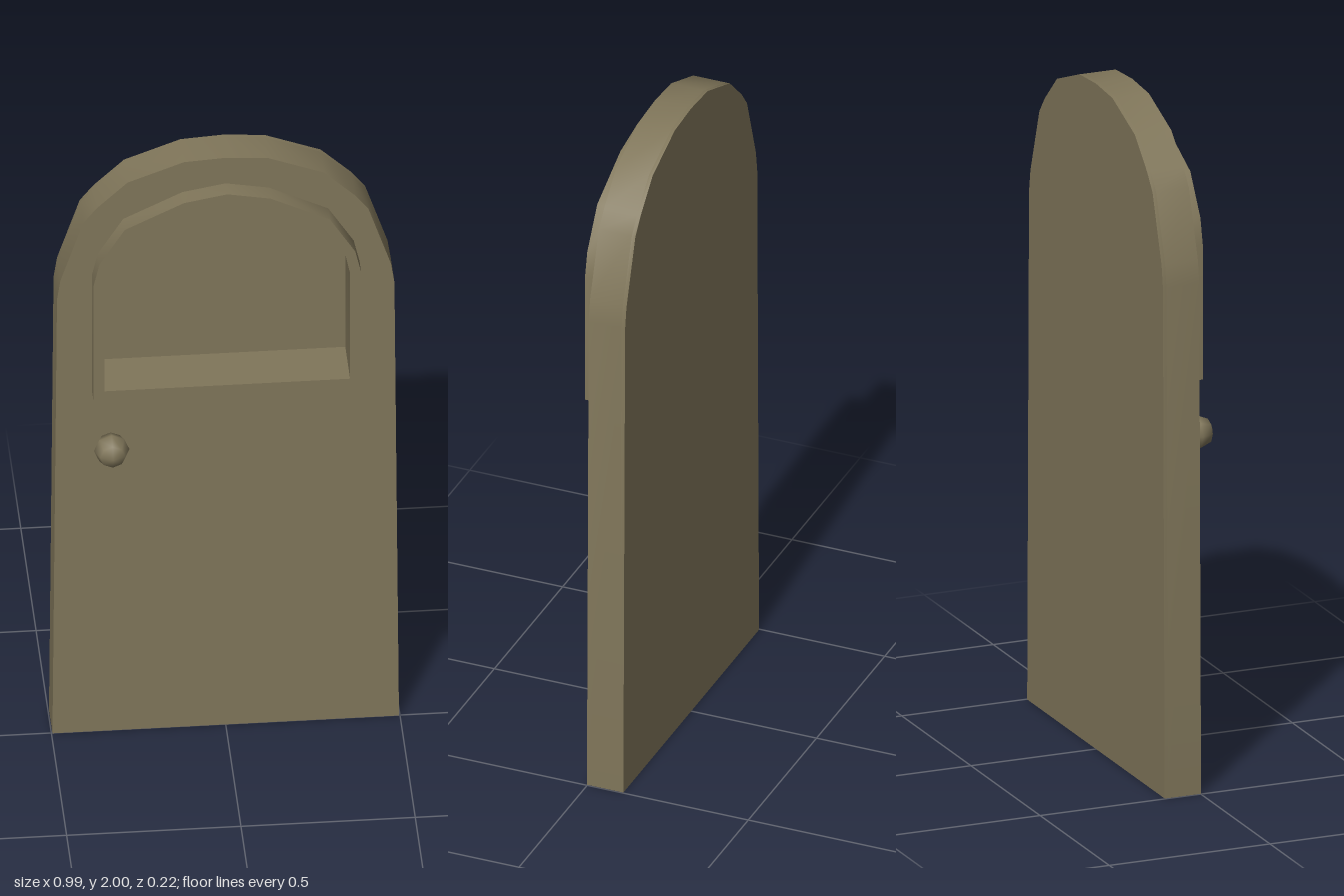
import * as THREE from 'three';
import { toCreasedNormals } from 'three/addons/utils/BufferGeometryUtils.js';

const material = new THREE.MeshStandardMaterial({ color: 0x80765a });

// Mirrors the right half of an outline (bottom corner up to the apex), counter-clockwise
function archPoints(half) {
  const left = half.slice(0, -1).reverse().map(([x, y]) => [-x, y]);
  return [...half, ...left].map(([x, y]) => new THREE.Vector2(x, y));
}

// Extrudes an outline, with an optional opening, between two depths
function slab(name, outline, hole, back, front) {
  const shape = new THREE.Shape(outline);
  if (hole) shape.holes.push(new THREE.Path(hole));
  const geometry = new THREE.ExtrudeGeometry(shape, { depth: front - back, bevelEnabled: false });
  geometry.translate(0, 0, back);
  const mesh = new THREE.Mesh(toCreasedNormals(geometry, 0.8), material);
  mesh.name = name;
  return mesh;
}

export function createModel() {
  const group = new THREE.Group();
  group.name = 'archedDoor';

  const doorOutline = archPoints([
    [0.497, 0], [0.484, 1.53], [0.474, 1.597], [0.409, 1.795], [0.37, 1.845],
    [0.282, 1.93], [0.12, 1.992], [0, 2],
  ]);
  const frameOutline = archPoints([
    [0.384, 1.204], [0.384, 1.61], [0.367, 1.685], [0.294, 1.803], [0.124, 1.887], [0, 1.91],
  ]);
  const opening = archPoints([
    [0.352, 1.237], [0.352, 1.61], [0.339, 1.673], [0.267, 1.786], [0.114, 1.858], [0, 1.878],
  ]);

  // Door body with a deep window recess closed by a thin back
  group.add(slab('doorBody', doorOutline, opening, -0.1, 0.002));
  group.add(slab('doorBack', doorOutline, null, -0.111, -0.1));

  // Raised moulding around the recess
  group.add(slab('windowFrame', frameOutline, opening, 0.002, 0.056));

  // Low-poly rounded knob on a short stem
  const knobGroup = new THREE.Group();
  knobGroup.name = 'doorKnob';
  knobGroup.position.set(-0.332, 1.03, 0);
  const knob = new THREE.Mesh(new THREE.SphereGeometry(0.051, 8, 4).rotateX(Math.PI / 2), material);
  knob.name = 'knob';
  knob.position.z = 0.058;
  const stem = new THREE.Mesh(
    new THREE.CylinderGeometry(0.014, 0.014, 0.04, 8).rotateX(Math.PI / 2), material);
  stem.name = 'knobStem';
  stem.position.z = 0.01;
  knobGroup.add(knob, stem);
  group.add(knobGroup);

  return group;
}
